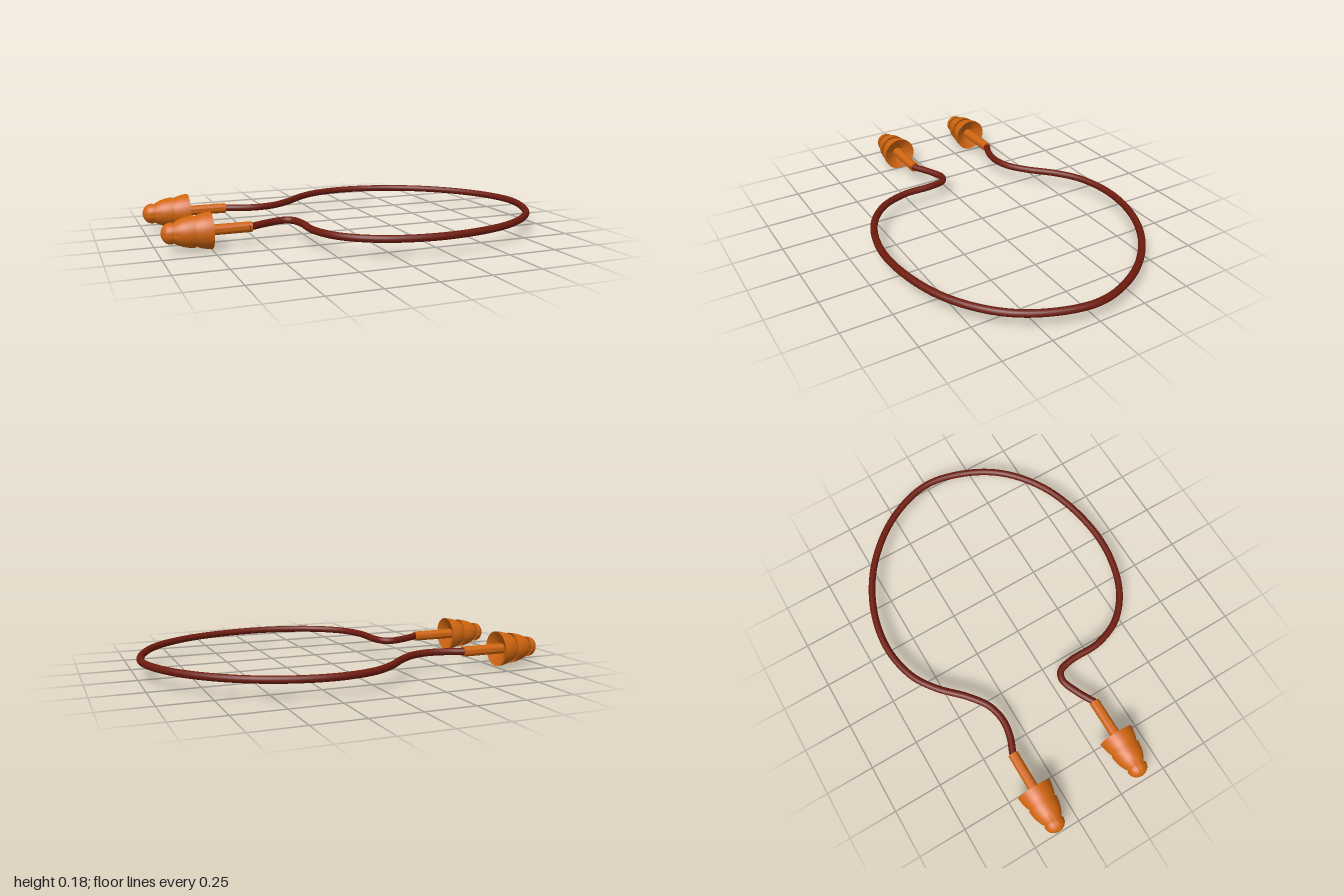
import * as THREE from 'three';
import { toCreasedNormals } from 'three/addons/utils/BufferGeometryUtils.js';

const AXIS_Y = 0.09;

// Revolves [radius, distance from tip] points around the x axis
function revolve(profile, name, material) {
  const points = profile.map(([r, u]) => new THREE.Vector2(r, u));
  const geometry = new THREE.LatheGeometry(points, 40).rotateZ(-Math.PI / 2);
  const mesh = new THREE.Mesh(toCreasedNormals(geometry, 0.6), material);
  mesh.name = name;
  return mesh;
}

// One ear plug: rounded tip, two hollow-backed flanges and a stem
function createPlug(name, x, z, material) {
  const plug = new THREE.Group();
  plug.name = name;
  plug.add(
    revolve([[0, 0], [0.015, 0.002], [0.028, 0.008], [0.039, 0.016], [0.047, 0.027],
      [0.051, 0.039], [0.052, 0.053], [0.02, 0.045]], 'tip', material),
    revolve([[0.02, 0.045], [0.044, 0.054], [0.056, 0.072], [0.066, 0.095],
      [0.073, 0.12], [0.078, 0.153], [0.03, 0.13]], 'middleFlange', material),
    revolve([[0.03, 0.13], [0.064, 0.143], [0.073, 0.162], [0.081, 0.183],
      [0.087, 0.208], [0.09, 0.235], [0.026, 0.2]], 'rearFlange', material),
    revolve([[0.026, 0.13], [0.026, 0.433], [0, 0.433]], 'stem', material),
  );
  plug.position.set(x, AXIS_Y, z);
  return plug;
}

export function createModel() {
  const orange = new THREE.MeshStandardMaterial({ color: 0xd0650f });
  const darkRed = new THREE.MeshStandardMaterial({ color: 0x6e1b0e });
  const group = new THREE.Group();
  group.name = 'cordedEarPlugs';

  group.add(createPlug('backPlug', -1, -0.367, orange));
  group.add(createPlug('frontPlug', -0.983, 0.12, orange));

  // Cord looping from one stem to the other, as [x, z]
  const path = [
    [-0.59, -0.376], [-0.56, -0.365], [-0.49, -0.337], [-0.40, -0.323], [-0.30, -0.345],
    [-0.2, -0.415], [-0.08, -0.53], [0.045, -0.608], [0.245, -0.645], [0.485, -0.6],
    [0.71, -0.472], [0.895, -0.26], [0.98, -0.01], [0.925, 0.235], [0.8, 0.42],
    [0.565, 0.573], [0.2, 0.64], [-0.08, 0.578], [-0.235, 0.455], [-0.298, 0.305],
    [-0.304, 0.14], [-0.325, 0.062], [-0.37, 0.042], [-0.46, 0.072], [-0.55, 0.12], [-0.575, 0.133],
  ];
  const curve = new THREE.CatmullRomCurve3(
    path.map(([x, z]) => new THREE.Vector3(x, AXIS_Y, z)), false, 'centripetal');
  const cord = new THREE.Mesh(new THREE.TubeGeometry(curve, 220, 0.018, 16), darkRed);
  cord.name = 'cord';
  group.add(cord);

  return group;
}
